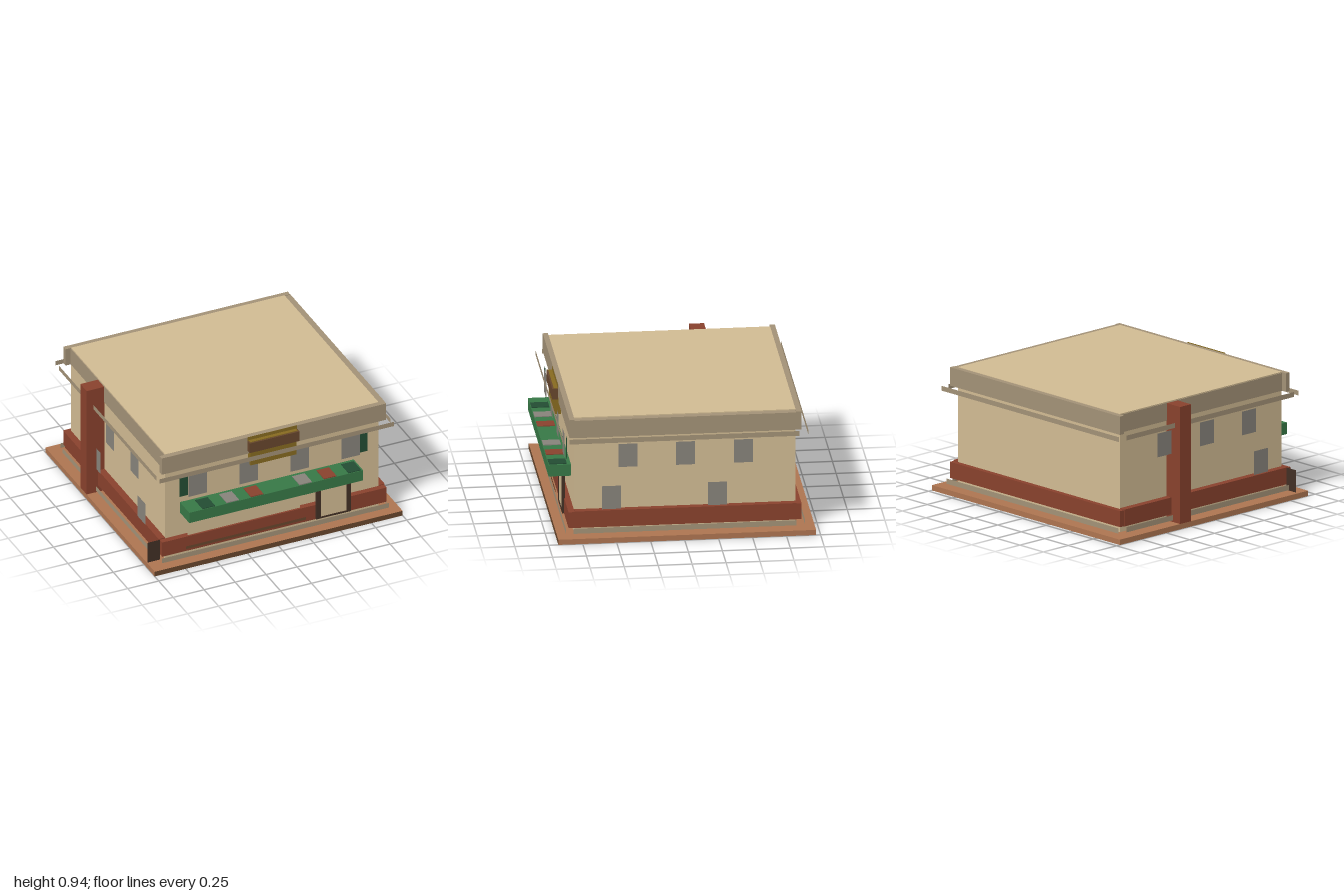
import * as THREE from 'three';

const mat = (name, color) => {
  const m = new THREE.MeshStandardMaterial({ color, side: THREE.DoubleSide });
  m.name = name;
  return m;
};

export function createModel() {
  const model = new THREE.Group();
  model.name = 'shopBuilding';

  const tan = mat('tanWall', 0xd0ba92);
  const stone = mat('stoneTrim', 0xa29176);
  const rust = mat('rustBrick', 0x88412d);
  const clay = mat('clayPaving', 0xad7450);
  const brown = mat('signBrown', 0x67462c);
  const dark = mat('darkBrown', 0x412f24);
  const green = mat('awningGreen', 0x377746);
  const deepGreen = mat('deepGreen', 0x234c33);
  const grey = mat('greyGlass', 0x86827a);
  const gold = mat('gold', 0x866a20);

  const add = (name, geometry, material, x, y, z) => {
    const mesh = new THREE.Mesh(geometry, material);
    mesh.position.set(x, y, z);
    mesh.name = name;
    model.add(mesh);
    return mesh;
  };

  // Box given by its lower and upper limits on each axis
  const box = (name, material, x0, x1, y0, y1, z0, z1) =>
    add(name, new THREE.BoxGeometry(x1 - x0, y1 - y0, z1 - z0), material,
      (x0 + x1) / 2, (y0 + y1) / 2, (z0 + z1) / 2);

  // Flat panel facing front or back (dir +1 / -1)
  const panelZ = (name, material, x0, x1, y0, y1, z, dir = 1) => {
    const p = add(name, new THREE.PlaneGeometry(x1 - x0, y1 - y0), material, (x0 + x1) / 2, (y0 + y1) / 2, z);
    if (dir < 0) p.rotation.y = Math.PI;
  };

  // Flat panel facing left or right (dir +1 / -1 along x)
  const panelX = (name, material, z0, z1, y0, y1, x, dir) => {
    const p = add(name, new THREE.PlaneGeometry(z1 - z0, y1 - y0), material, x, (y0 + y1) / 2, (z0 + z1) / 2);
    p.rotation.y = dir * Math.PI / 2;
  };

  // Paved base with dark front edge
  const base = box('base', clay, -1, 1, 0, 0.04, -0.967, 0.93);
  base.material = [clay, clay, clay, clay, brown, clay];

  // Main block
  box('walls', tan, -0.855, 0.865, 0.04, 0.94, -0.83, 0.8);

  // Plinth and cornice boards, standing clear of the walls
  for (const [name, y0, y1, xa, xb, za, zb, front, back, side] of [
    ['plinth', 0.053, 0.093, -0.91, 0.92, -0.83, 0.81, 0.865, -0.895, 0.925],
    ['cornice', 0.76, 0.797, -0.94, 0.95, -0.85, 0.84, 0.888, -0.918, 0.945],
  ]) {
    panelZ(name + 'Front', stone, xa, xb, y0, y1, front);
    panelZ(name + 'Back', stone, xa, xb, y0, y1, back, -1);
    panelX(name + 'Left', stone, za, zb, y0, y1, side, 1);
    panelX(name + 'Right', stone, za, zb, y0, y1, -side, -1);
  }

  // Brick skirting around the block
  box('skirtFront', rust, -0.9, 0.91, 0.095, 0.217, 0.8, 0.845);
  box('skirtBack', rust, -0.9, 0.91, 0.095, 0.217, -0.87, -0.83);
  box('skirtLeft', rust, 0.865, 0.915, 0.095, 0.223, -0.83, 0.8);
  box('skirtRight', rust, -0.907, -0.855, 0.095, 0.223, -0.83, 0.8);
  panelZ('skirtStrip', brown, -0.72, 0.25, 0.128, 0.15, 0.87);

  // Parapet
  box('parapetFront', stone, -0.9, 0.91, 0.797, 0.937, 0.8, 0.838);
  box('parapetBack', stone, -0.9, 0.91, 0.797, 0.937, -0.87, -0.83);
  box('parapetLeft', stone, 0.865, 0.915, 0.797, 0.932, -0.83, 0.8);
  box('parapetRight', stone, -0.859, -0.855, 0.797, 0.932, -0.83, 0.8);

  // Chimney and small corner panel
  box('chimney', rust, -1, -0.855, 0.04, 0.93, -0.36, -0.25);
  panelZ('cornerPanel', dark, -1, -0.9, 0.05, 0.22, 0.807);

  // Front windows and outer shutters
  for (const x of [-0.615, -0.205, 0.208, 0.618])
    panelZ('frontWindow', grey, x - 0.075, x + 0.075, 0.558, 0.745, 0.85);
  for (const s of [-1, 1])
    panelZ('shutter', deepGreen, s * 0.724 - 0.034, s * 0.724 + 0.034, 0.57, 0.735, 0.84);

  // Side windows, the same on both sides
  for (const s of [-1, 1])
    for (const [z, y] of [[0.41, 0.65], [-0.015, 0.65], [-0.44, 0.65], [0.53, 0.325], [-0.25, 0.325]])
      panelX('sideWindow', grey, z - 0.07, z + 0.07, y - 0.09, y + 0.09, s * 0.92, s);

  // Shop front panel
  panelZ('shopPanel', tan, -0.69, 0.22, 0.217, 0.41, 0.83);

  // Door with dark frame
  for (const x of [0.355, 0.598])
    box('doorPost', dark, x - 0.018, x + 0.018, 0.1, 0.41, 0.84, 0.86);
  box('doorSill', dark, 0.373, 0.58, 0.1, 0.113, 0.84, 0.86);
  box('doorPanel', tan, 0.373, 0.58, 0.113, 0.41, 0.847, 0.855);

  // Awning with coloured patches on top
  box('awning', green, -0.737, 0.665, 0.41, 0.498, 0.8, 0.965);
  [[-0.577, deepGreen], [-0.383, grey], [-0.187, rust], [0.205, grey], [0.402, rust], [0.6, deepGreen]]
    .forEach(([x, m]) => box('awningPatch', m, x - 0.05, x + 0.05, 0.498, 0.504, 0.83, 0.96));

  // Sign: brown board with gold top, gold back panel and lower plate
  box('signBoard', brown, -0.213, 0.19, 0.83, 0.912, 0.845, 0.886);
  box('signTop', gold, -0.203, 0.18, 0.912, 0.916, 0.845, 0.874);
  panelZ('signBack', gold, -0.213, 0.19, 0.83, 0.942, 0.843);
  box('signLower', gold, -0.198, 0.173, 0.71, 0.83, 0.82, 0.868);

  return model;
}
